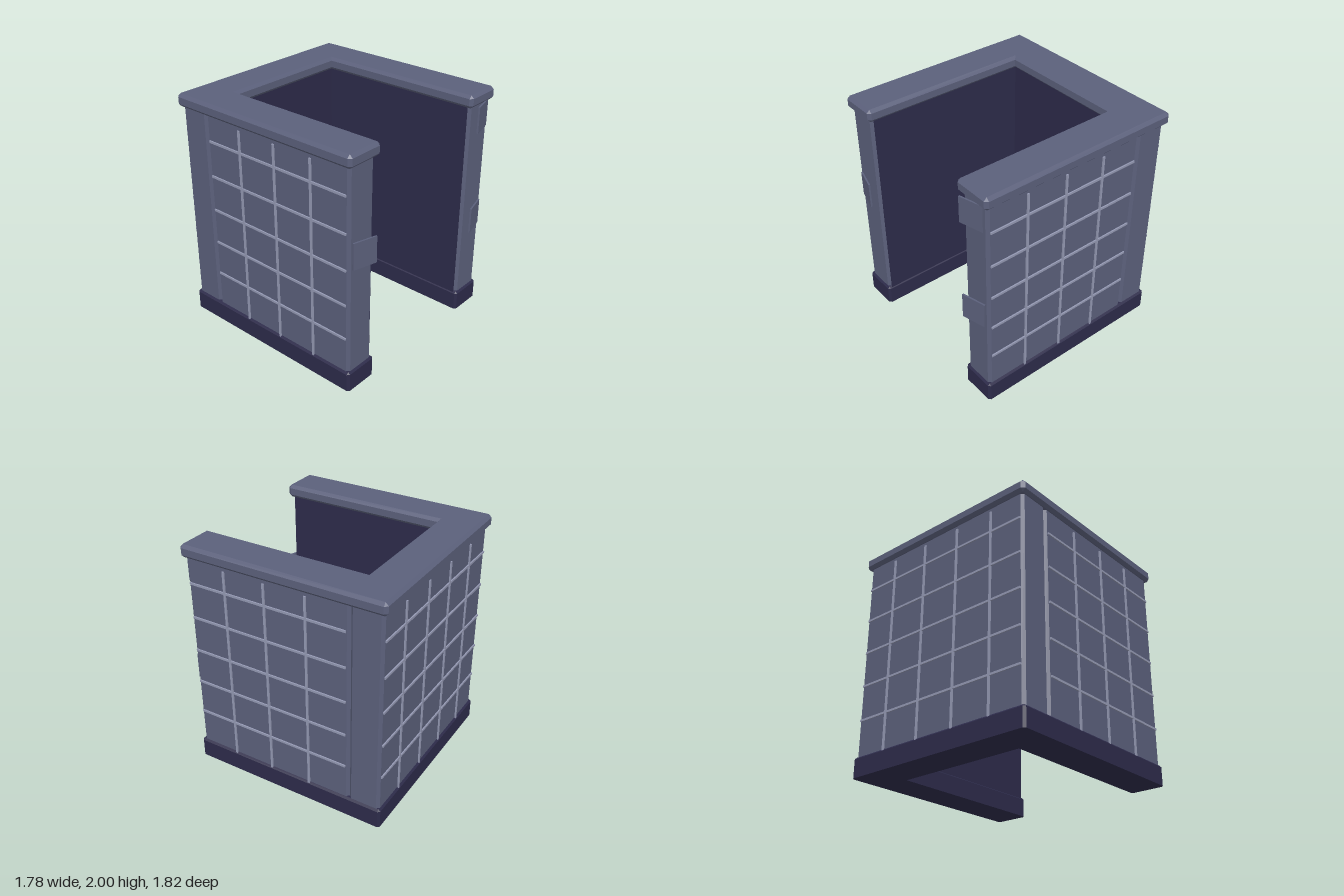
import * as THREE from 'three';

const mat = (name, color) => Object.assign(new THREE.MeshStandardMaterial({ color }), { name });

// Main wall footprint
const OUT = 0.857, INN = 0.588, FRONT = 0.842, BACK = -0.873, BACK_IN = -0.604;

// Cuts every convex corner of a counter-clockwise (seen from above) [x, z] outline
function chamfer(pts, c) {
  const ring = [];
  pts.forEach((p, i) => {
    const a = pts[(i + pts.length - 1) % pts.length], b = pts[(i + 1) % pts.length];
    const P = new THREE.Vector2(p[0], p[1]);
    const da = new THREE.Vector2(a[0], a[1]).sub(P).normalize();
    const db = new THREE.Vector2(b[0], b[1]).sub(P).normalize();
    if (da.cross(db) < 0) ring.push(P); // inner corner stays sharp
    else ring.push(P.clone().addScaledVector(da, c), P.clone().addScaledVector(db, c));
  });
  return ring;
}

// Joins stacked rings [{ y, ring }] into a closed, flat-faced solid
function loft(levels) {
  const pos = [];
  const put = (p, y) => pos.push(p.x, y, p.y);
  for (let l = 0; l < levels.length - 1; l++) {
    const A = levels[l], B = levels[l + 1], n = A.ring.length;
    for (let i = 0; i < n; i++) {
      const j = (i + 1) % n;
      put(A.ring[i], A.y); put(A.ring[j], A.y); put(B.ring[j], B.y);
      put(A.ring[i], A.y); put(B.ring[j], B.y); put(B.ring[i], B.y);
    }
  }
  const lid = ({ ring, y }, flip) => {
    const flat = ring.map((p) => new THREE.Vector2(p.x, -p.y));
    for (const [a, b, c] of THREE.ShapeUtils.triangulateShape(flat, [])) {
      for (const k of flip ? [a, c, b] : [a, b, c]) put(ring[k], y);
    }
  };
  lid(levels[0], true);
  lid(levels[levels.length - 1], false);
  const g = new THREE.BufferGeometry();
  g.setAttribute('position', new THREE.Float32BufferAttribute(pos, 3));
  g.computeVertexNormals();
  return g;
}

// U-shaped outline grown outwards from the walls by d
const uOutline = (d) => [
  [-OUT - d, FRONT + d], [-INN + d, FRONT + d], [-INN + d, BACK_IN + d], [INN - d, BACK_IN + d],
  [INN - d, FRONT + d], [OUT + d, FRONT + d], [OUT + d, BACK - d], [-OUT - d, BACK - d],
];
const rect = (x0, x1, z0, z1) => [[x0, z1], [x1, z1], [x1, z0], [x0, z0]];

export function createModel() {
  const model = new THREE.Group();
  const wall = mat('slateWall', 0x5b607b);
  const dark = mat('darkIndigo', 0x2d2b4a);
  const pale = mat('paleSeam', 0x9499b3);

  const add = (name, geo, material, parent = model) => {
    const m = new THREE.Mesh(geo, material);
    m.name = name;
    parent.add(m);
    return m;
  };
  const box = (name, x0, x1, y0, y1, z0, z1, material, parent) => {
    const m = add(name, new THREE.BoxGeometry(x1 - x0, y1 - y0, z1 - z0), material, parent);
    m.position.set((x0 + x1) / 2, (y0 + y1) / 2, (z0 + z1) / 2);
    return m;
  };

  // Plinth with chamfered upper edge
  const plinth = chamfer(uOutline(0.016), 0.018);
  add('plinth', loft([
    { y: 0, ring: plinth },
    { y: 0.155, ring: plinth },
    { y: 0.173, ring: chamfer(uOutline(-0.002), 0.0005) },
  ]), dark);

  // Coping chamfered above and below
  const rim = chamfer(uOutline(0.033), 0.025), rimIn = chamfer(uOutline(0.008), 0.0005);
  add('coping', loft([
    { y: 1.892, ring: rimIn },
    { y: 1.917, ring: rim },
    { y: 1.975, ring: rim },
    { y: 2, ring: rimIn },
  ]), wall);

  // Walls: chamfered uprights that leave a V groove where they meet
  const upright = (name, r) => {
    const ring = chamfer(r, 0.023);
    add(name, loft([{ y: 0.15, ring }, { y: 1.9, ring }]), wall);
  };
  upright('backWall', rect(-OUT, OUT, BACK, BACK_IN));
  upright('leftWall', rect(INN, OUT, BACK_IN, FRONT));
  upright('rightWall', rect(-OUT, -INN, BACK_IN, FRONT));

  // Dark inner lining
  const t = 0.008;
  box('backLining', -INN, INN, 0.16, 1.895, BACK_IN, BACK_IN + t, dark);
  box('leftLining', INN - t, INN, 0.16, 1.895, BACK_IN, FRONT - 0.023, dark);
  box('rightLining', -INN, -INN + t, 0.16, 1.895, BACK_IN, FRONT - 0.023, dark);

  // Raised seam grid on the outer faces
  const rows = [0.475, 0.775, 1.076, 1.377, 1.677], w = 0.009, d = 0.011;
  for (const s of [1, -1]) {
    const grid = new THREE.Group();
    grid.name = s > 0 ? 'leftSeams' : 'rightSeams';
    model.add(grid);
    const x0 = s * OUT - d, x1 = s * OUT + d;
    for (const y of rows) box('rowSeam', x0, x1, y - w, y + w, -0.575, 0.818, pale, grid);
    for (const z of [0.485, 0.124, -0.237]) box('columnSeam', x0, x1, 0.16, 1.86, z - w, z + w, pale, grid);
  }
  const backGrid = new THREE.Group();
  backGrid.name = 'backSeams';
  model.add(backGrid);
  for (const y of rows) box('rowSeam', -0.834, 0.834, y - w, y + w, BACK - d, BACK + d, pale, backGrid);
  for (const x of [-0.54, -0.18, 0.18, 0.54]) box('columnSeam', x - w, x + w, 0.16, 1.86, BACK - d, BACK + d, pale, backGrid);

  // Slightly opened flaps on the front ends, hinged on the outside
  for (const [s, y] of [[1, 1.79], [1, 0.89], [-1, 1.188]]) {
    const flap = add('frontFlap', new THREE.BoxGeometry(0.206, 0.222, 0.014), wall);
    flap.position.set(s * 0.724, y, 0.876);
    flap.rotation.y = s * 0.26;
  }
  return model;
}
